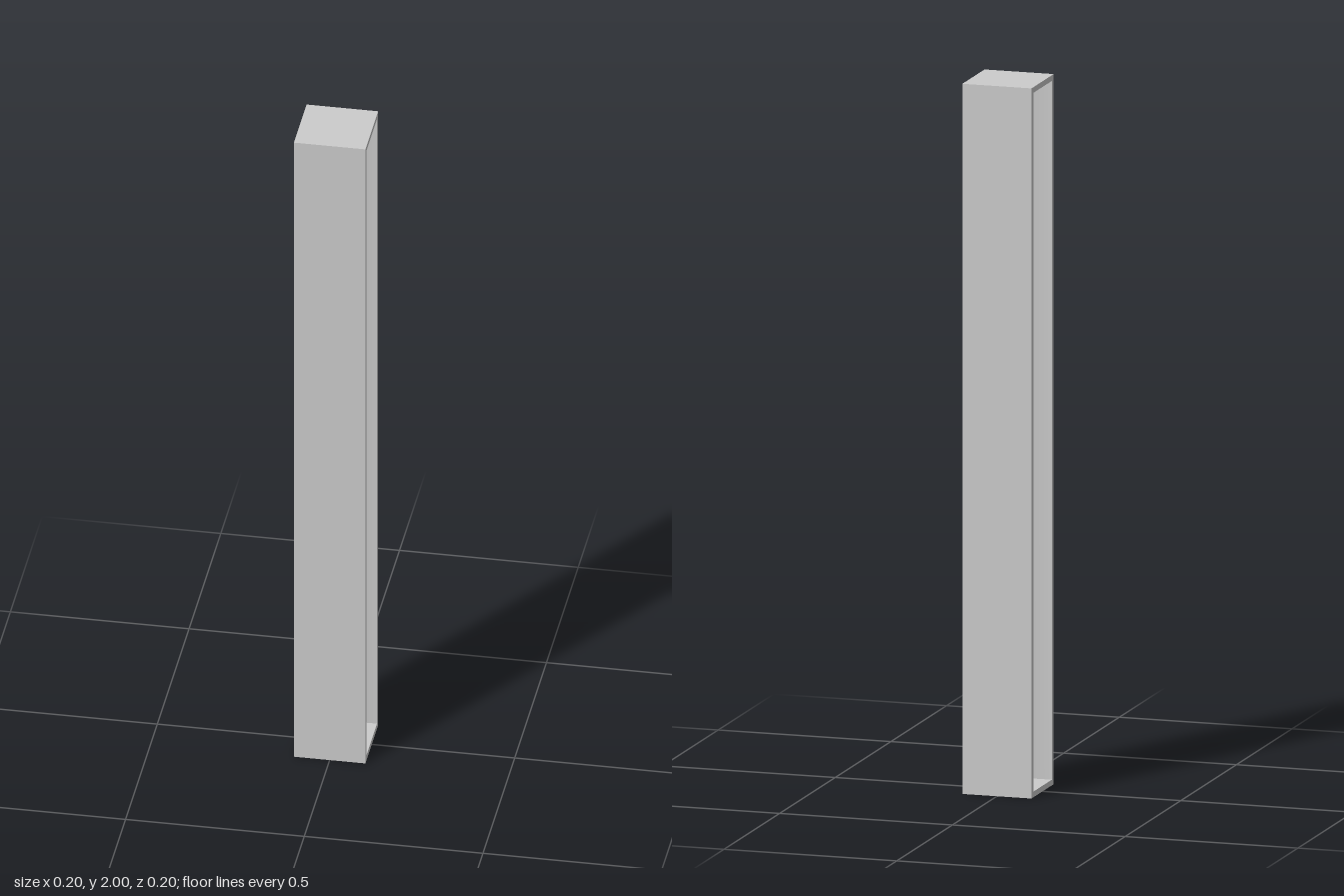
import * as THREE from 'three';
import { toCreasedNormals } from 'three/addons/utils/BufferGeometryUtils.js';

const HEIGHT = 2, HALF = 0.1;   // overall height, half width of the section
const PLATE = 0.016;            // end plate thickness
const FLANGE = 0.017;           // flange thickness
const WEB = 0.006;              // half thickness of the web
const ROOT = 0.01;              // root fillet radius

// I-shaped section with rounded roots between web and flanges
function beamSection() {
  const inner = HALF - FLANGE, cx = WEB + ROOT, cy = inner - ROOT;
  const s = new THREE.Shape();
  s.moveTo(-HALF, -HALF);
  s.lineTo(HALF, -HALF);
  s.lineTo(HALF, -inner);
  s.lineTo(cx, -inner);
  s.absarc(cx, -cy, ROOT, -Math.PI / 2, -Math.PI, true);
  s.lineTo(WEB, cy);
  s.absarc(cx, cy, ROOT, Math.PI, Math.PI / 2, true);
  s.lineTo(HALF, inner);
  s.lineTo(HALF, HALF);
  s.lineTo(-HALF, HALF);
  s.lineTo(-HALF, inner);
  s.lineTo(-cx, inner);
  s.absarc(-cx, cy, ROOT, Math.PI / 2, 0, true);
  s.lineTo(-WEB, -cy);
  s.absarc(-cx, -cy, ROOT, 0, -Math.PI / 2, true);
  s.lineTo(-HALF, -inner);
  s.closePath();
  return s;
}

export function createModel() {
  const group = new THREE.Group();
  group.name = 'steelColumn';
  const material = new THREE.MeshStandardMaterial({ color: 0xcccccc });

  // Column shaft: flanges face front and back, open sides face left and right
  const shaft = new THREE.ExtrudeGeometry(beamSection(), {
    depth: HEIGHT - 2 * PLATE, bevelEnabled: false, curveSegments: 6,
  });
  shaft.rotateX(-Math.PI / 2);
  const beam = new THREE.Mesh(toCreasedNormals(shaft, Math.PI / 6), material);
  beam.name = 'beam';
  beam.position.y = PLATE;
  group.add(beam);

  // Square plates closing both ends
  for (const [name, y] of [['basePlate', PLATE / 2], ['topPlate', HEIGHT - PLATE / 2]]) {
    const plate = new THREE.Mesh(new THREE.BoxGeometry(2 * HALF, PLATE, 2 * HALF), material);
    plate.name = name;
    plate.position.y = y;
    group.add(plate);
  }
  return group;
}
